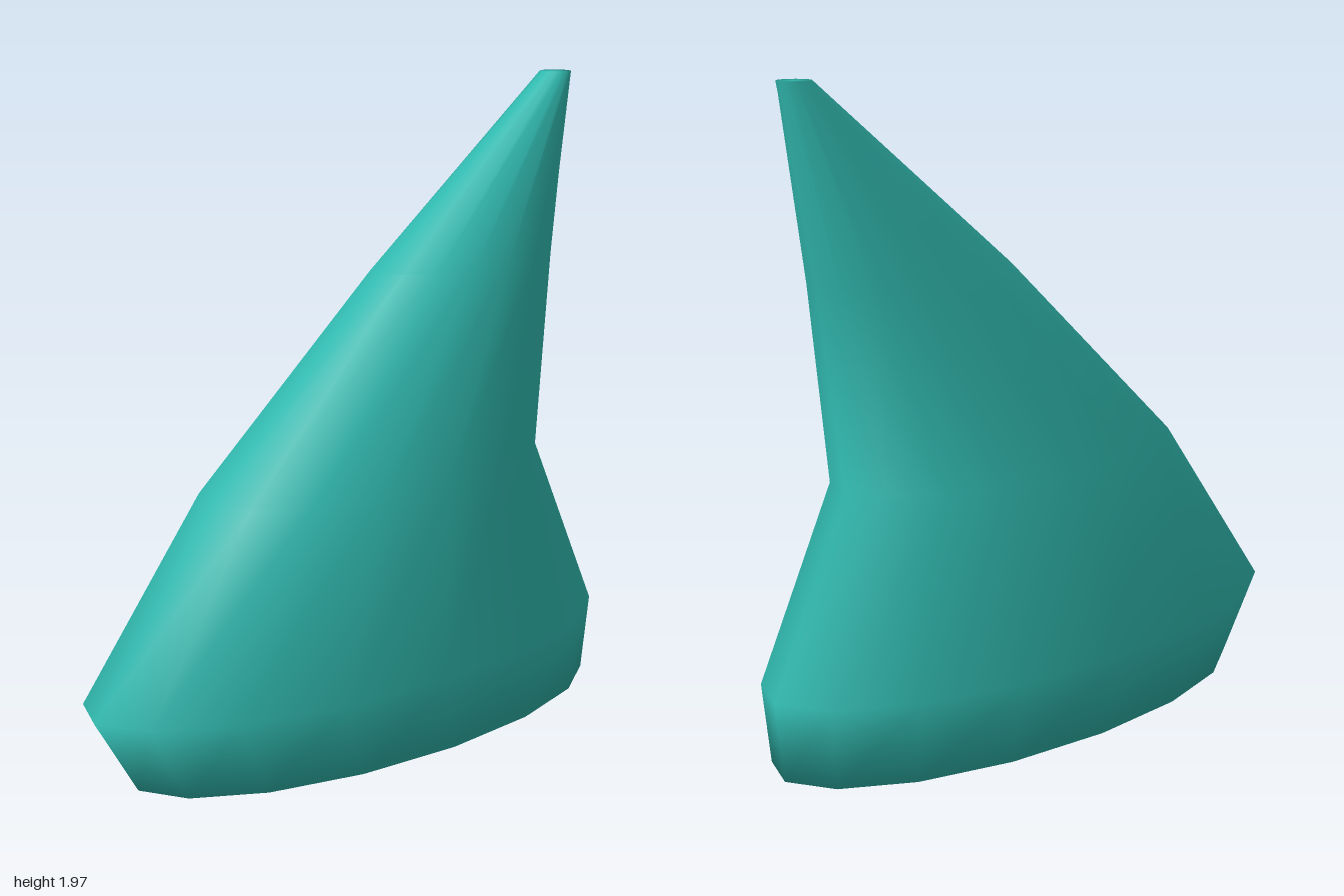
import * as THREE from 'three';

const SIDES = 16;

// Cross-sections from base to tip: height, front z, back z, half width
const SECTIONS = [
  [0.0, 0.85, -0.97, 0.38],
  [0.24, 1.0, -1.0, 0.41],
  [0.8, 0.56, -0.73, 0.32],
  [1.4, -0.11, -0.82, 0.19],
  [1.97, -0.83, -0.93, 0.05],
];

// Joins elliptical rings into one closed, smooth skin
function loft(sections) {
  const positions = [];
  const index = [];
  for (const [y, front, back, halfWidth] of sections) {
    const middle = (front + back) / 2;
    const halfDepth = (front - back) / 2;
    for (let i = 0; i < SIDES; i++) {
      const a = (i / SIDES) * Math.PI * 2;
      positions.push(Math.sin(a) * halfWidth, y, middle + Math.cos(a) * halfDepth);
    }
  }

  // Side walls
  for (let r = 0; r < sections.length - 1; r++) {
    for (let i = 0; i < SIDES; i++) {
      const j = (i + 1) % SIDES;
      const a = r * SIDES + i, b = r * SIDES + j;
      const c = b + SIDES, d = a + SIDES;
      index.push(a, b, c, a, c, d);
    }
  }

  // Base and tip caps
  const last = sections.length - 1;
  for (const r of [0, last]) {
    const [y, front, back] = sections[r];
    const centre = positions.length / 3;
    positions.push(0, y, (front + back) / 2);
    for (let i = 0; i < SIDES; i++) {
      const a = r * SIDES + i, b = r * SIDES + ((i + 1) % SIDES);
      if (r === 0) index.push(centre, b, a);
      else index.push(centre, a, b);
    }
  }

  const geometry = new THREE.BufferGeometry();
  geometry.setAttribute('position', new THREE.Float32BufferAttribute(positions, 3));
  geometry.setIndex(index);
  geometry.computeVertexNormals();
  return geometry;
}

export function createModel() {
  const model = new THREE.Group();
  model.name = 'sweptFin';

  const teal = new THREE.MeshStandardMaterial({ color: 0x30b8ae });
  teal.name = 'teal';

  const fin = new THREE.Mesh(loft(SECTIONS), teal);
  fin.name = 'fin';
  model.add(fin);
  return model;
}
